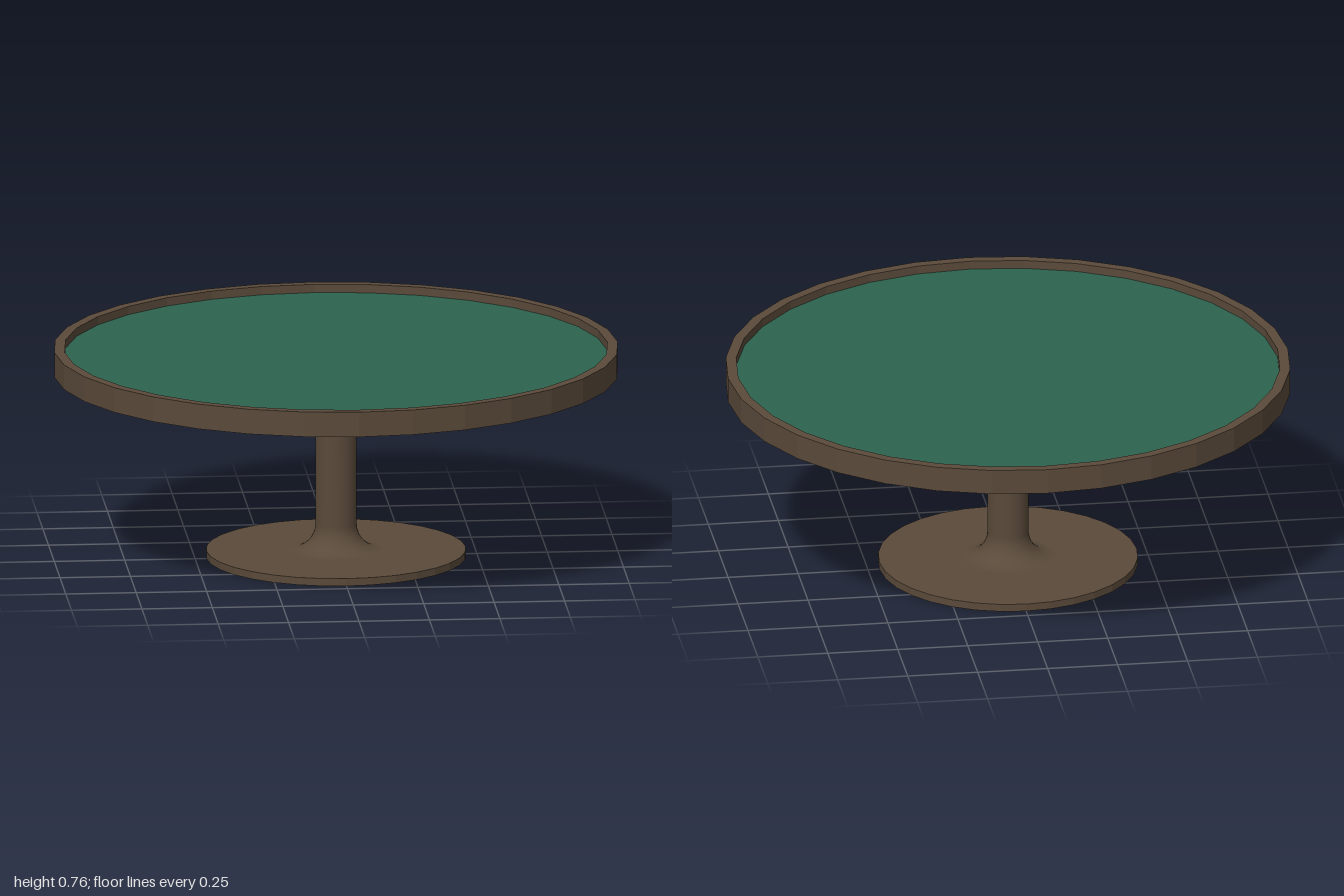
import * as THREE from 'three';

const SIDES = 32;

// Revolve a profile listed from the bottom, up the outside
function lathe(name, points, material) {
  const profile = points.map(([r, y]) => new THREE.Vector2(r, y));
  const mesh = new THREE.Mesh(new THREE.LatheGeometry(profile, SIDES), material);
  mesh.name = name;
  return mesh;
}

// Quarter-ellipse fillet between the column radius and a wider flare
function fillet(columnRadius, flareRadius, flareY, columnY, steps = 8) {
  return Array.from({ length: steps + 1 }, (_, i) => {
    const a = (i / steps) * Math.PI / 2;
    return [
      flareRadius - (flareRadius - columnRadius) * Math.sin(a),
      columnY + (flareY - columnY) * Math.cos(a),
    ];
  });
}

export function createModel() {
  const wood = new THREE.MeshStandardMaterial({ color: 0x5a4a3a, flatShading: true });
  wood.name = 'brown wood';
  const smoothWood = wood.clone();
  smoothWood.name = 'smooth brown wood';
  smoothWood.flatShading = false;
  const felt = new THREE.MeshStandardMaterial({ color: 0x2d6350 });
  felt.name = 'green felt';

  const table = new THREE.Group();
  table.name = 'roundTable';

  // Thin disc foot
  table.add(lathe('base', [[0, 0], [0.46, 0], [0.46, 0.027], [0, 0.027]], wood));

  // Column flaring into the foot and the top
  const lower = fillet(0.073, 0.165, 0.027, 0.12);
  const upper = fillet(0.073, 0.215, 0.67, 0.53).reverse();
  table.add(lathe('column', [...lower, ...upper], smoothWood));

  // Table top with a raised rim around a shallow recess
  table.add(lathe('topWithRim', [
    [0, 0.67], [1, 0.67], [1, 0.76], [0.963, 0.76], [0.963, 0.728],
  ], wood));

  // Felt playing surface inside the rim
  const surface = new THREE.Mesh(new THREE.CircleGeometry(0.963, SIDES), felt);
  surface.name = 'feltSurface';
  surface.rotation.x = -Math.PI / 2;
  surface.position.y = 0.73;
  table.add(surface);

  return table;
}
